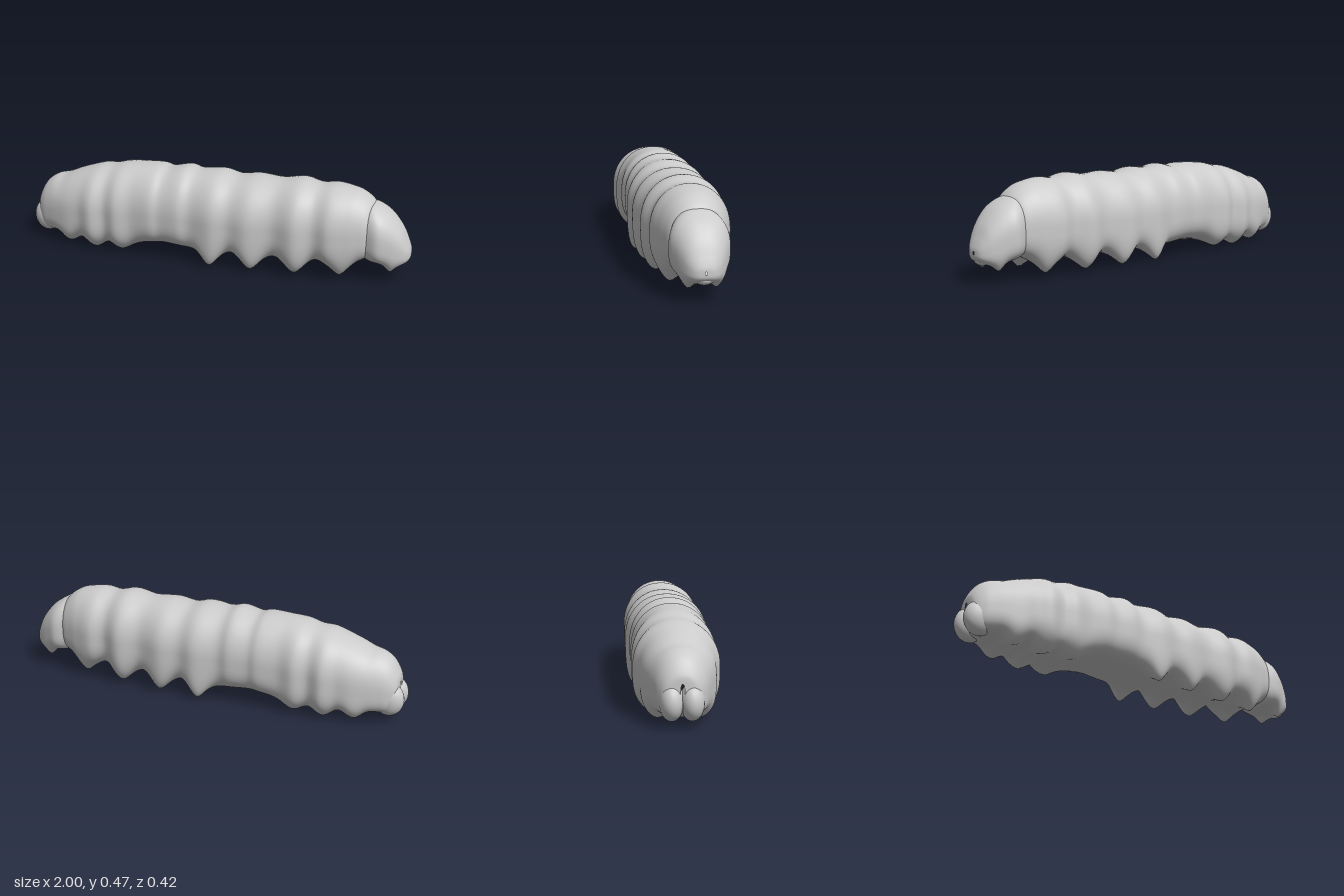
import * as THREE from 'three';

const material = new THREE.MeshStandardMaterial({ color: 0xcccccc });

// Cross-sections along the body: [x, bottom, top, half width]
const bodySections = [
  [-0.97, 0.12, 0.20, 0.01], [-0.965, 0.09, 0.24, 0.07], [-0.93, 0.05, 0.30, 0.105],
  [-0.88, 0.045, 0.335, 0.128], [-0.82, 0.055, 0.35, 0.15], [-0.76, 0.04, 0.375, 0.168],
  [-0.69, 0.055, 0.40, 0.178], [-0.62, 0.04, 0.42, 0.20], [-0.55, 0.05, 0.428, 0.182],
  [-0.48, 0.04, 0.445, 0.20], [-0.40, 0.045, 0.453, 0.185], [-0.30, 0.06, 0.457, 0.195],
  [-0.24, 0.065, 0.447, 0.187], [-0.15, 0.06, 0.465, 0.196], [-0.08, 0.055, 0.452, 0.187],
  [0.03, 0.055, 0.461, 0.21], [0.12, 0.07, 0.445, 0.193], [0.22, 0.055, 0.457, 0.208],
  [0.34, 0.075, 0.452, 0.18], [0.45, 0.06, 0.468, 0.203], [0.54, 0.085, 0.452, 0.172],
  [0.62, 0.075, 0.46, 0.186], [0.70, 0.085, 0.45, 0.166], [0.75, 0.10, 0.435, 0.148],
  [0.80, 0.12, 0.40, 0.125], [0.82, 0.15, 0.36, 0.09], [0.82, 0.24, 0.26, 0.01]
];
const headSections = [
  [0.75, 0.14, 0.36, 0.10], [0.80, 0.105, 0.388, 0.125], [0.85, 0.098, 0.37, 0.137],
  [0.90, 0.095, 0.335, 0.118], [0.95, 0.092, 0.275, 0.09], [0.98, 0.105, 0.215, 0.064],
  [0.996, 0.122, 0.175, 0.037], [1.0, 0.14, 0.155, 0.004]
];

// Feet pulled down out of the underside: x, tip height, tip z, spread
const bodyFeet = [
  { x: 0.02, y: 0.008, z: 0.165, r: 0.055 }, { x: 0.23, y: 0.012, z: 0.15, r: 0.055 },
  { x: 0.45, y: 0.018, z: 0.13, r: 0.055 }, { x: 0.67, y: 0.025, z: 0.10, r: 0.05 },
  { x: -0.47, y: 0.01, z: 0.11, r: 0.06 }, { x: -0.62, y: 0.0, z: 0.105, r: 0.06 },
  { x: -0.77, y: 0.01, z: 0.095, r: 0.055 }
];
const headFeet = [{ x: 0.91, y: 0.06, z: 0.062, r: 0.028 }];

// Smooth loft through the sections, rounded above and squarer below
function loft(name, sections, feet, rows, power) {
  const around = 56, positions = [], index = [];
  const channels = [0, 1, 2, 3].map(k =>
    new THREE.SplineCurve(sections.map((s, i) => new THREE.Vector2(i, s[k]))));
  for (let i = 0; i <= rows; i++) {
    const [x, bottom, top, width] = channels.map(c => c.getPoint(i / rows).y);
    const middle = bottom + (top - bottom) * 0.45;
    for (let j = 0; j < around; j++) {
      const a = j / around * Math.PI * 2, c = Math.cos(a), s = Math.sin(a);
      const e = s < 0 ? 2 / 3.2 : 2 / power;
      const z = width * Math.sign(c) * Math.abs(c) ** e;
      let y = middle + (s > 0 ? top - middle : middle - bottom) * Math.sign(s) * Math.abs(s) ** e;
      const low = 1 - THREE.MathUtils.smoothstep(y, 0.1, 0.24);
      for (const f of feet) {
        const d = Math.hypot(x - f.x, (Math.abs(z) - f.z) * 0.9) / f.r;
        y += (f.y - y) * low * Math.exp(-(d ** 1.6));
      }
      positions.push(x, y, z);
      if (i < rows) {
        const p = i * around + j, q = i * around + (j + 1) % around;
        index.push(p, p + around, q, q, p + around, q + around);
      }
    }
  }
  const geometry = new THREE.BufferGeometry();
  geometry.setAttribute('position', new THREE.Float32BufferAttribute(positions, 3));
  geometry.setIndex(index);
  geometry.computeVertexNormals();
  const mesh = new THREE.Mesh(geometry, material);
  mesh.name = name;
  return mesh;
}

// Ellipsoid lobe
function lobe(name, x, y, z, rx, ry, rz) {
  const mesh = new THREE.Mesh(new THREE.SphereGeometry(1, 24, 16), material);
  mesh.name = name;
  mesh.position.set(x, y, z);
  mesh.scale.set(rx, ry, rz);
  return mesh;
}

export function createModel() {
  const group = new THREE.Group();
  group.name = 'caterpillar';
  group.add(loft('body', bodySections, bodyFeet, 234, 2.1));
  group.add(loft('head', headSections, headFeet, 70, 2.4));
  // Tail claspers
  for (const side of [1, -1]) {
    group.add(lobe(side > 0 ? 'frontTailLobe' : 'backTailLobe',
      -0.925, 0.115, side * 0.045, 0.075, 0.085, 0.055));
  }
  // Mouth below the face
  group.add(lobe('mouth', 0.955, 0.115, 0, 0.035, 0.03, 0.045));
  return group;
}
